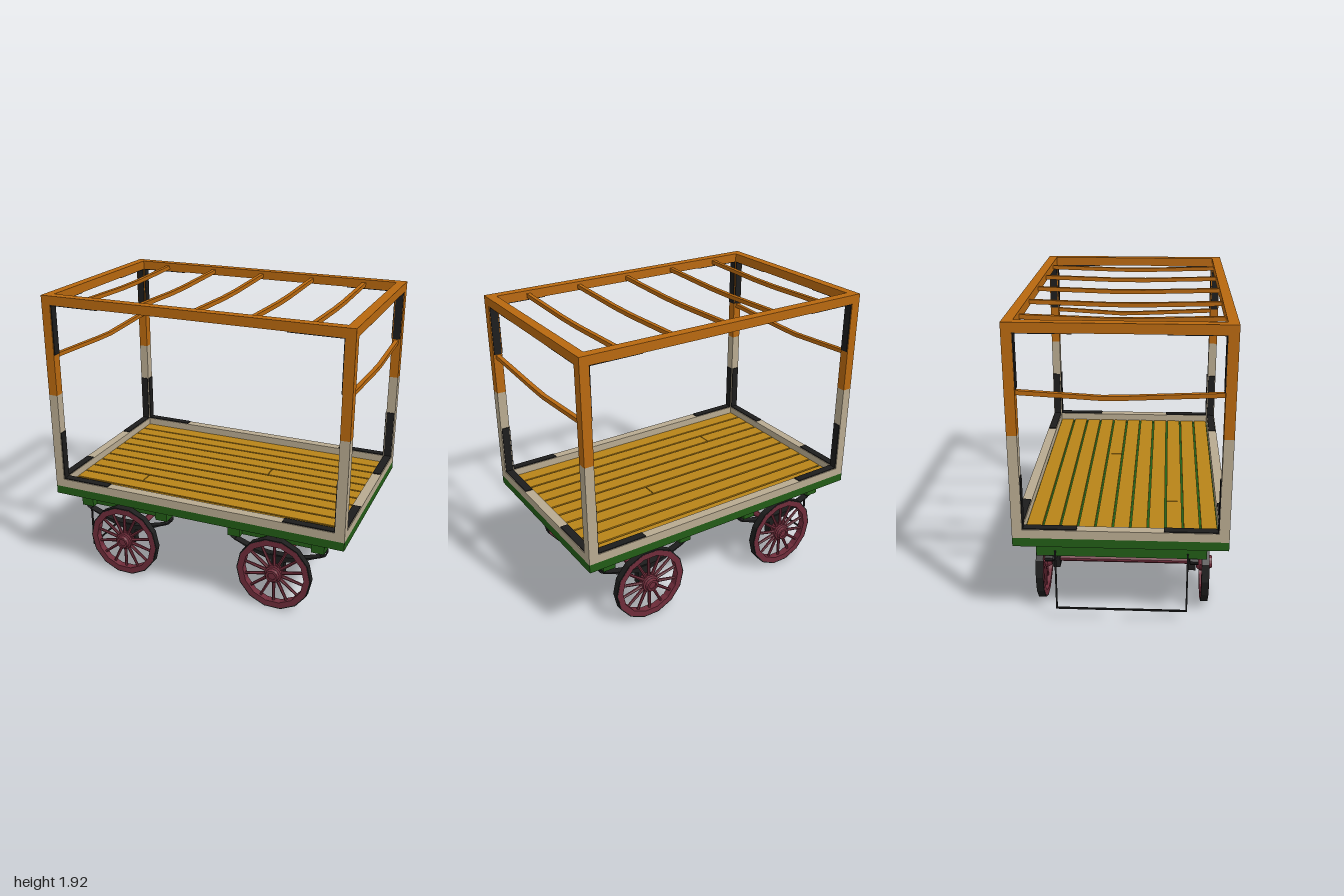
import * as THREE from 'three';

const mat = (color) => new THREE.MeshStandardMaterial({ color, flatShading: true, side: THREE.DoubleSide });

export function createModel() {
  const root = new THREE.Group();
  const orange = mat(0xb8680f), cream = mat(0xb8aa90), green = mat(0x225c16);
  const plank = mat(0xb88418), maroon = mat(0x6e2b39), black = mat(0x1c1c1c);

  const add = (parent, name, geo, m) => {
    const mesh = new THREE.Mesh(geo, m);
    mesh.name = name;
    parent.add(mesh);
    return mesh;
  };
  // Box given by its limits on each axis
  const box = (parent, name, m, x0, x1, y0, y1, z0, z1) => {
    const mesh = add(parent, name, new THREE.BoxGeometry(x1 - x0, y1 - y0, z1 - z0), m);
    mesh.position.set((x0 + x1) / 2, (y0 + y1) / 2, (z0 + z1) / 2);
    return mesh;
  };
  // Square bar along z through [z, y] points, following every bend
  const bentBar = (name, m, x, pts, width, height) => {
    const h = height / 2;
    const s = new THREE.Shape([
      ...pts.map(([z, y]) => new THREE.Vector2(z, y + h)),
      ...pts.slice().reverse().map(([z, y]) => new THREE.Vector2(z, y - h)),
    ]);
    const g = new THREE.ExtrudeGeometry(s, { depth: width, bevelEnabled: false });
    g.rotateY(-Math.PI / 2);
    g.translate(x + width / 2, 0, 0);
    add(root, name, g, m);
  };
  // Rectangular frame lying flat
  const frame = (name, m, X, Z, w, y0, y1) => {
    const g = new THREE.Group();
    g.name = name;
    for (const s of [-1, 1]) {
      const zc = s * (Z - w / 2), xc = s * (X - w / 2);
      box(g, 'longRail', m, -X, X, y0, y1, zc - w / 2, zc + w / 2);
      box(g, 'endRail', m, xc - w / 2, xc + w / 2, y0, y1, -Z + w, Z - w);
    }
    root.add(g);
  };

  // Deck, sill and roof frames
  const X = 0.995, Z = 0.635, W = 0.06;
  frame('deckFrame', green, X, Z, 0.09, 0.58, 0.635);
  frame('sill', cream, X, Z, W, 0.635, 0.69);
  frame('roofFrame', orange, X, Z, W, 1.873, 1.93);

  // Floor boards, two of them jointed, over green joists
  const pitch = 0.105, gap = 0.012;
  for (let i = 0; i < 11; i++) {
    const z0 = -0.578 + i * pitch + gap / 2, z1 = z0 + pitch - gap;
    const joint = { 4: 0.255, 8: -0.49 }[i];
    const ends = joint === undefined ? [-0.94, 0.94] : [-0.94, joint, 0.94];
    for (let k = 0; k + 1 < ends.length; k++)
      box(root, 'floorBoard', plank, ends[k] + 0.003, ends[k + 1] - 0.003, 0.605, 0.642, z0, z1);
  }
  box(root, 'floorUnderlay', green, -0.93, 0.93, 0.618, 0.632, -0.58, 0.58);
  box(root, 'middleJoist', green, -0.07, 0.1, 0.562, 0.61, -0.56, 0.56);
  box(root, 'centreBeam', green, -0.92, 0.92, 0.574, 0.61, -0.1, 0.1);

  // Corner posts with black strengthening straps on inner faces
  const t = 0.006;
  for (const sx of [-1, 1]) for (const sz of [-1, 1]) {
    const corner = new THREE.Group();
    corner.name = 'cornerPost';
    const part = (name, m, x0, x1, y0, y1, z0, z1) => box(corner, name, m,
      Math.min(sx * x0, sx * x1), Math.max(sx * x0, sx * x1), y0, y1,
      Math.min(sz * z0, sz * z1), Math.max(sz * z0, sz * z1));
    const xi = X - W, zi = Z - W;
    part('lowerPost', cream, xi, X, 0.69, 1.28, zi, Z);
    part('upperPost', orange, xi, X, 1.28, 1.873, zi, Z);
    for (const [y0, y1] of [[0.69, 1.02], [1.55, 1.873]]) {
      part('postStrap', black, xi - t, xi, y0, y1, zi + 0.005, Z - 0.005);
      part('postStrap', black, xi + 0.005, X - 0.005, y0, y1, zi - t, zi);
    }
    for (const y of [0.69, 1.873 - t]) {
      part('railStrap', black, xi - 0.33, xi, y, y + t, zi + 0.005, Z - 0.005);
      part('railStrap', black, xi + 0.005, X - 0.005, y, y + t, zi - 0.32, zi);
    }
    root.add(corner);
  }

  // Sagging roof slats and end bars
  for (const x of [-0.735, -0.37, -0.007, 0.358, 0.72])
    bentBar('roofSlat', orange, x, [[-0.58, 1.898], [-0.1, 1.884], [0.1, 1.884], [0.58, 1.898]], 0.026, 0.026);
  for (const x of [-0.965, 0.965])
    bentBar('endBar', orange, x, [[-0.58, 1.53], [-0.1, 1.503], [0.05, 1.507], [0.58, 1.532]], 0.028, 0.026);

  // Wheel: faceted rim, tyre, spokes and turned hub, axis along z
  const SIDES = 14;
  const ring = (rIn, rOut, depth) => {
    const poly = (r) => Array.from({ length: SIDES }, (_, i) => {
      const a = ((i + 0.5) / SIDES) * Math.PI * 2 - Math.PI / 2;
      return new THREE.Vector2(r * Math.cos(a), r * Math.sin(a));
    });
    const s = new THREE.Shape(poly(rOut));
    s.holes.push(new THREE.Path(poly(rIn)));
    const g = new THREE.ExtrudeGeometry(s, { depth, bevelEnabled: false });
    return g.translate(0, 0, -depth / 2);
  };
  const rimGeo = ring(0.205, 0.243, 0.048), tyreGeo = ring(0.241, 0.25, 0.046);
  const spokeGeo = new THREE.CylinderGeometry(0.009, 0.012, 0.17, 6).translate(0, 0.125, 0);
  const hubGeo = new THREE.LatheGeometry([[0, -0.05], [0.04, -0.05], [0.058, -0.025], [0.058, 0.025],
    [0.045, 0.03], [0.04, 0.05], [0.025, 0.05], [0.025, 0.04], [0, 0.04]]
    .map(([r, y]) => new THREE.Vector2(r, y)), SIDES).rotateX(Math.PI / 2);
  const makeWheel = () => {
    const wheel = new THREE.Group();
    wheel.name = 'wheel';
    add(wheel, 'rim', rimGeo, maroon);
    add(wheel, 'tyre', tyreGeo, black);
    add(wheel, 'hub', hubGeo, maroon);
    for (let i = 0; i < SIDES; i++)
      add(wheel, 'spoke', spokeGeo, maroon).rotation.z = (i / SIDES) * Math.PI * 2;
    return wheel;
  };

  // Leaf spring: curved strip with rolled ends
  const springGeo = () => {
    const arc = [];
    for (let i = 0; i <= 12; i++) {
      const x = -0.3 + i * 0.05;
      arc.push([x, 0.345 + 0.065 * (x / 0.3) ** 2]);
    }
    const s = new THREE.Shape([
      ...arc.map(([x, y]) => new THREE.Vector2(x, y)),
      ...arc.slice().reverse().map(([x, y]) => new THREE.Vector2(x, y - 0.008 - 0.035 * Math.max(0, 1 - Math.abs(x) / 0.25))),
    ]);
    return new THREE.ExtrudeGeometry(s, { depth: 0.05, bevelEnabled: false }).translate(0, 0, -0.025);
  };
  const spring = springGeo();
  const eye = new THREE.CylinderGeometry(0.024, 0.024, 0.05, 10, 1, true).rotateX(Math.PI / 2);

  // Two bogies: stacked timber frames, springs, axle and wheels
  for (const cx of [-0.56, 0.52]) {
    const bogie = new THREE.Group();
    bogie.name = 'bogie';
    bogie.position.x = cx;
    for (const [y0, y1] of [[0.455, 0.517], [0.542, 0.582]]) {
      for (const s of [-1, 1]) {
        box(bogie, 'crossBeam', green, s * 0.28 - 0.042, s * 0.28 + 0.042, y0, y1, -0.515, 0.515);
        box(bogie, 'sideBeam', green, -0.24, 0.24, y0, y1, s * 0.43 - 0.04, s * 0.43 + 0.04);
      }
      box(bogie, 'bolster', green, -0.08, 0.08, y0, y1, -0.39, 0.39);
    }
    const pivot = add(bogie, 'pivot', new THREE.CylinderGeometry(0.03, 0.03, 0.06, 12), black);
    pivot.position.y = 0.53;
    const axle = add(bogie, 'axle', new THREE.CylinderGeometry(0.022, 0.022, 1.0, 10).rotateX(Math.PI / 2), maroon);
    axle.position.y = 0.255;
    for (const s of [-1, 1]) {
      add(bogie, 'leafSpring', spring, black).position.z = s * 0.44;
      for (const e of [-1, 1]) {
        add(bogie, 'springEye', eye, black).position.set(e * 0.3, 0.43, s * 0.44);
        box(bogie, 'springHanger', black, e * 0.3 - 0.008, e * 0.3 + 0.008, 0.43, 0.46, s * 0.44 - 0.02, s * 0.44 + 0.02);
      }
      box(bogie, 'axleBox', black, -0.045, 0.045, 0.21, 0.35, s * 0.435 - 0.025, s * 0.435 + 0.025);
      const wheel = makeWheel();
      wheel.position.set(0, 0.25, s * 0.515);
      if (s < 0) wheel.rotation.y = Math.PI;
      bogie.add(wheel);
    }
    root.add(bogie);
  }

  // Hanging rod loop at one end
  const rx = -0.887, r = 0.005;
  for (const s of [-1, 1])
    box(root, 'guardRod', black, rx - r, rx + r, 0.09, 0.49, s * 0.4 - r, s * 0.4 + r);
  box(root, 'guardBar', black, rx - r, rx + r, 0.085, 0.095, -0.405, 0.405);

  return root;
}
